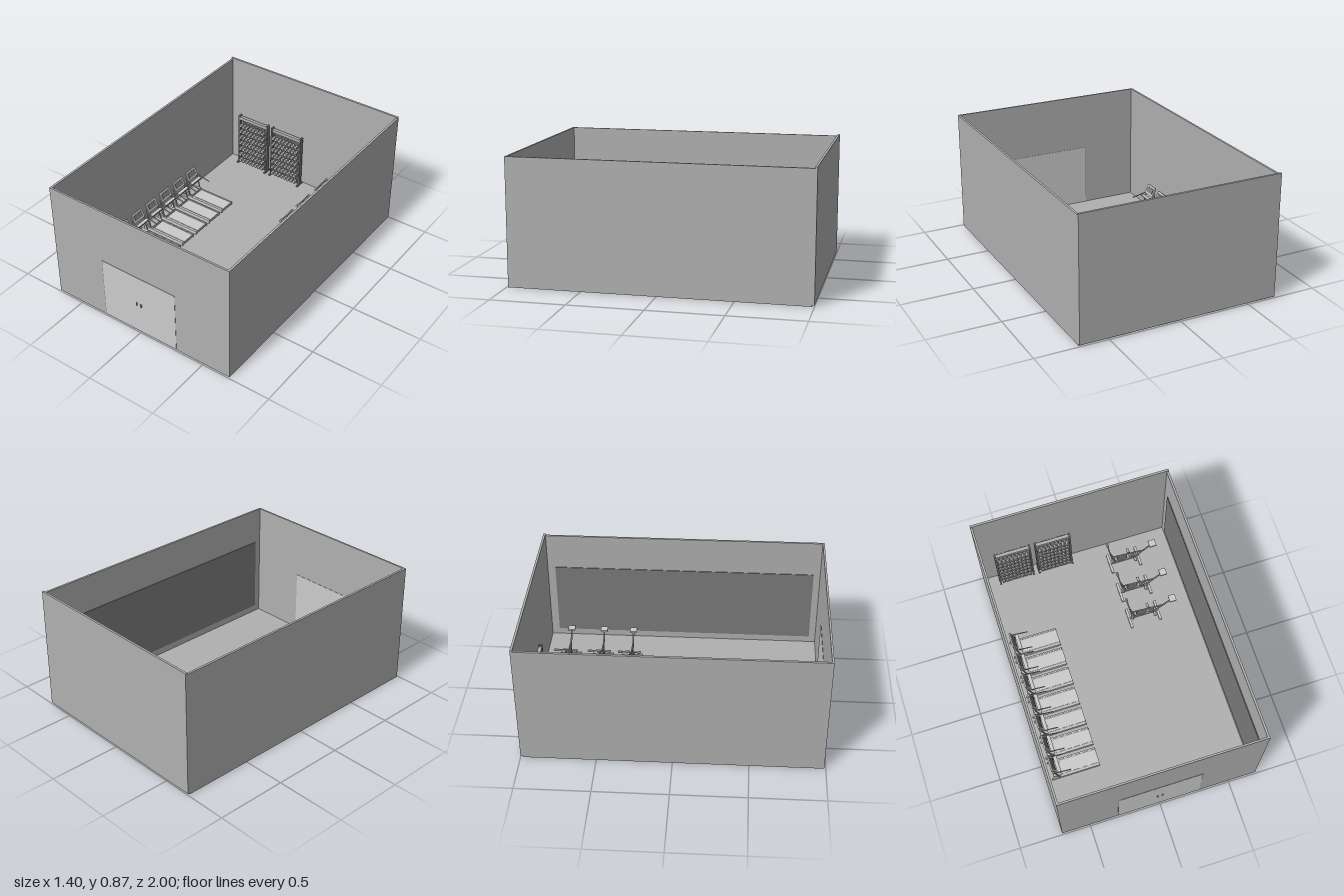
import * as THREE from 'three';
import { mergeGeometries } from 'three/addons/utils/BufferGeometryUtils.js';

const mat = (color) => new THREE.MeshStandardMaterial({ color, flatShading: true });
const wallGrey = mat(0xb0b0b0);
const lightGrey = mat(0xcccccc);
const darkGrey = mat(0x7b7b7b);

function add(parent, name, geometry, material) {
  const mesh = new THREE.Mesh(geometry, material);
  mesh.name = name;
  parent.add(mesh);
  return mesh;
}

// Box given by its lowest and highest corner
function box(parent, name, a, b, material) {
  const mesh = add(parent, name, new THREE.BoxGeometry(b[0] - a[0], b[1] - a[1], b[2] - a[2]), material);
  mesh.position.set((a[0] + b[0]) / 2, (a[1] + b[1]) / 2, (a[2] + b[2]) / 2);
  return mesh;
}

// Round bar between two points
function rod(parent, name, a, b, radius, material, sides = 8) {
  const p = new THREE.Vector3(...a), q = new THREE.Vector3(...b);
  const mesh = add(parent, name, new THREE.CylinderGeometry(radius, radius, p.distanceTo(q), sides), material);
  mesh.position.copy(p).lerp(q, 0.5);
  mesh.quaternion.setFromUnitVectors(new THREE.Vector3(0, 1, 0), q.sub(p).normalize());
  return mesh;
}

function createRoom() {
  const room = new THREE.Group();
  room.name = 'room';
  box(room, 'floor', [-0.7, 0, -0.985], [0.7, 0.01, 0.99], wallGrey);
  box(room, 'backWall', [-0.7, 0.01, -1], [0.7, 0.87, -0.985], wallGrey);
  box(room, 'frontWall', [-0.7, 0.005, 0.977], [0.7, 0.86, 0.99], wallGrey);
  for (const s of [-1, 1]) {
    const wall = box(room, s < 0 ? 'rightWall' : 'leftWall', [-0.0075, 0.005, -0.985], [0.0075, 0.86, 0.977], wallGrey);
    wall.position.x = s * 0.6925;
  }
  box(room, 'wallMirror', [0.68, 0.06, -0.93], [0.685, 0.6, 0.93], darkGrey);

  // Double door with a pull on each leaf
  box(room, 'rightDoor', [-0.295, 0.008, 0.975], [-0.005, 0.455, 0.992], lightGrey);
  box(room, 'leftDoor', [-0.005, 0.008, 0.975], [0.285, 0.455, 0.992], lightGrey);
  box(room, 'doorJamb', [-0.299, 0.008, 0.976], [-0.295, 0.455, 0.991], darkGrey);
  for (const x of [-0.022, 0.012]) {
    box(room, 'doorHandle', [x - 0.004, 0.222, 0.992], [x + 0.004, 0.246, 1], wallGrey);
  }
  return room;
}

// Treadmill: console toward -x, belt running toward +x
function createTreadmill() {
  const t = new THREE.Group();
  t.name = 'treadmill';
  box(t, 'deck', [-0.1, 0.012, -0.055], [0.172, 0.033, 0.055], wallGrey);
  box(t, 'belt', [-0.09, 0.033, -0.045], [0.175, 0.036, 0.045], lightGrey);
  box(t, 'motorCover', [-0.155, 0.01, -0.055], [-0.1, 0.05, 0.055], wallGrey);
  for (const s of [-1, 1]) {
    const z = s * 0.06;
    box(t, 'sideRail', [-0.172, 0.01, z - 0.005], [0.175, 0.036, z + 0.005], lightGrey);
    rod(t, 'upright', [-0.115, 0.03, z], [-0.15, 0.18, z], 0.005, wallGrey);
    rod(t, 'handRail', [-0.15, 0.16, z], [-0.03, 0.135, z], 0.004, wallGrey);
  }
  box(t, 'crossBar', [-0.125, 0.135, -0.06], [-0.1, 0.143, 0.06], lightGrey);
  const panel = box(t, 'console', [-0.005, -0.035, -0.055], [0.005, 0.035, 0.055], lightGrey);
  panel.position.set(-0.148, 0.19, 0);
  panel.rotation.z = 0.4;
  const screen = box(t, 'screen', [-0.002, -0.02, -0.04], [0.002, 0.02, 0.04], darkGrey);
  screen.position.set(-0.142, 0.193, 0);
  screen.rotation.z = 0.4;
  return t;
}

// Exercise bike: handlebar toward -x, saddle toward +x
function createBike() {
  const b = new THREE.Group();
  b.name = 'exerciseBike';
  for (const x of [-0.165, 0.05]) {
    box(b, 'footBar', [x - 0.009, 0.01, -0.075], [x + 0.009, 0.025, 0.075], lightGrey);
  }
  box(b, 'baseBeam', [-0.165, 0.018, -0.006], [0.05, 0.032, 0.006], wallGrey);
  rod(b, 'frontPost', [-0.12, 0.025, 0], [-0.165, 0.2, 0], 0.006, wallGrey);
  rod(b, 'seatPost', [0.03, 0.025, 0], [0.155, 0.155, 0], 0.006, wallGrey);
  rod(b, 'topTube', [-0.14, 0.12, 0], [0.09, 0.088, 0], 0.006, wallGrey);
  rod(b, 'flywheel', [-0.075, 0.075, -0.005], [-0.075, 0.075, 0.005], 0.04, darkGrey, 20);
  rod(b, 'crankWheel', [0, 0.07, -0.008], [0, 0.07, 0.008], 0.022, wallGrey, 16);
  rod(b, 'handlebar', [-0.165, 0.2, -0.08], [-0.165, 0.2, 0.08], 0.005, wallGrey);
  for (const s of [-1, 1]) {
    rod(b, 'grip', [-0.165, 0.2, s * 0.055], [-0.165, 0.2, s * 0.082], 0.009, lightGrey);
    rod(b, 'crankArm', [0, 0.07, s * 0.014], [s * 0.02, 0.07 - s * 0.025, s * 0.014], 0.004, wallGrey);
    rod(b, 'crankAxle', [0, 0.07, 0], [0, 0.07, s * 0.016], 0.004, wallGrey);
    box(b, 'pedal', [s * 0.02 - 0.009, 0.067 - s * 0.025, s * 0.03 - 0.016],
      [s * 0.02 + 0.009, 0.073 - s * 0.025, s * 0.03 + 0.016], wallGrey);
  }
  box(b, 'saddle', [0.132, 0.155, -0.025], [0.182, 0.168, 0.025], lightGrey);
  return b;
}

// Dumbbell lying along z, two hexagonal heads and a handle
function dumbbellGeometry() {
  const parts = [[0.004, 0.05, 0, 8], [0.0135, 0.026, -0.025, 6], [0.0135, 0.026, 0.025, 6]];
  return mergeGeometries(parts.map(([r, length, z, sides]) =>
    new THREE.CylinderGeometry(r, r, length, sides).rotateX(Math.PI / 2).translate(0, 0, z)));
}

// Rack centred on x, with rows of dumbbells
function createRack(dumbbell) {
  const rack = new THREE.Group();
  rack.name = 'dumbbellRack';
  for (const s of [-1, 1]) {
    box(rack, 'post', [s * 0.126 - 0.006, 0.01, -0.015], [s * 0.126 + 0.006, 0.43, 0.015], darkGrey);
    box(rack, 'foot', [s * 0.126 - 0.006, 0.01, -0.035], [s * 0.126 + 0.006, 0.022, 0.035], darkGrey);
  }
  box(rack, 'topBar', [-0.126, 0.395, -0.012], [0.126, 0.42, 0.012], wallGrey);
  for (let row = 0; row < 7; row++) {
    const y = 0.035 + row * 0.052;
    box(rack, 'shelf', [-0.126, y - 0.006, -0.016], [0.126, y, 0.016], darkGrey);
    for (let i = 0; i < 8; i++) {
      add(rack, 'dumbbell', dumbbell, wallGrey).position.set((i - 3.5) * 0.0285, y + 0.012, 0);
    }
  }
  return rack;
}

export function createModel() {
  const model = new THREE.Group();
  model.name = 'gym';
  model.add(createRoom());

  for (let i = 0; i < 7; i++) {
    const treadmill = createTreadmill();
    treadmill.position.set(-0.485, 0, -0.382 + i * 0.156);
    model.add(treadmill);
  }
  for (const z of [-0.815, -0.575, -0.36]) {
    const bike = createBike();
    bike.position.set(0.388, 0, z);
    model.add(bike);
  }
  const dumbbell = dumbbellGeometry();
  for (const x of [-0.46, -0.165]) {
    const rack = createRack(dumbbell);
    rack.position.set(x, 0, -0.942);
    model.add(rack);
  }
  return model;
}
